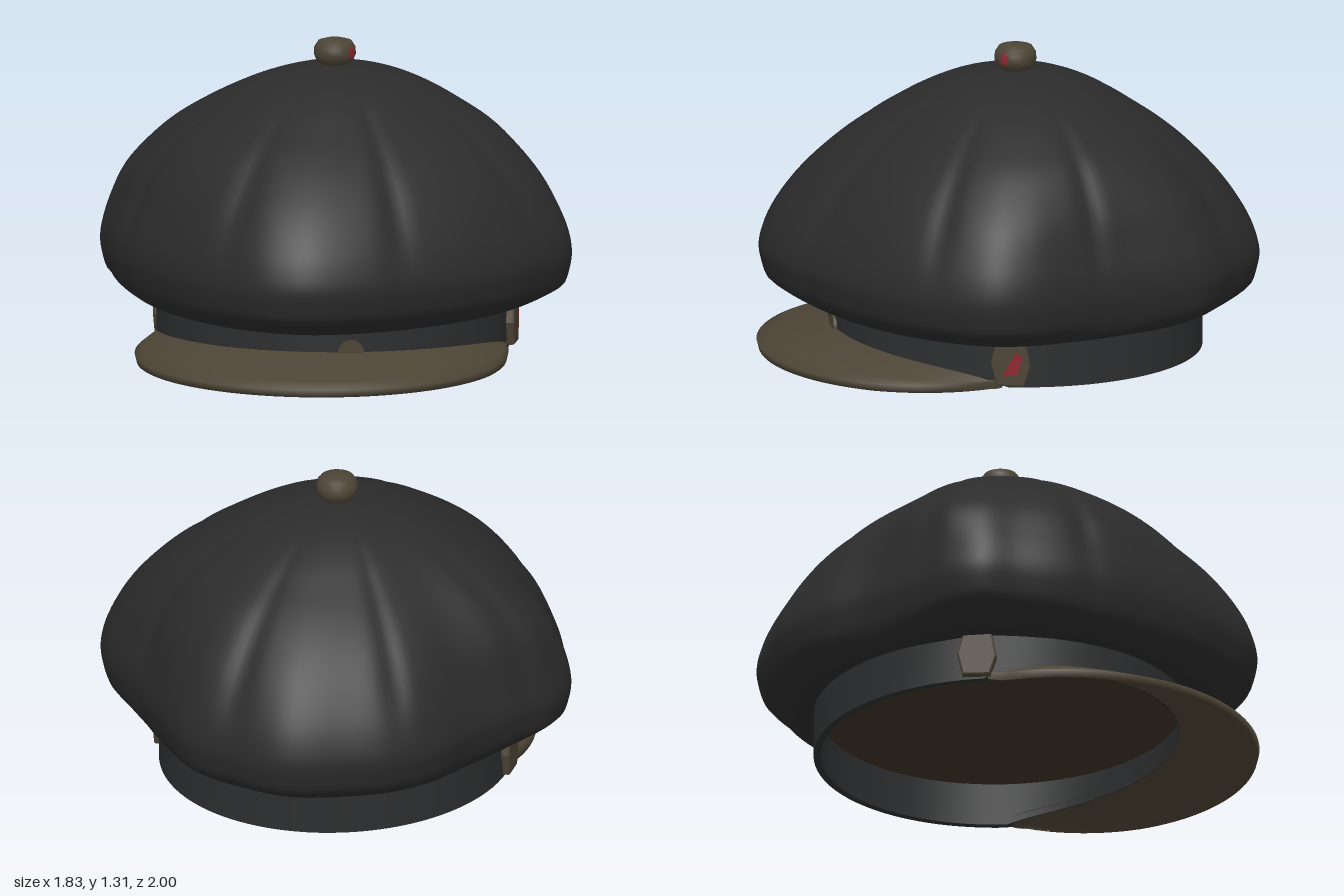
import * as THREE from 'three';

const CX = 0.02, CZ = -0.035;          // axis of crown and band
const AXIS = -0.56;                    // heading of the brim, measured from +z towards +x
const { lerp, smoothstep } = THREE.MathUtils;

const paint = (name, color, side = THREE.FrontSide) => {
  const m = new THREE.MeshStandardMaterial({ color, side });
  m.name = name;
  return m;
};

// Surface from rows of points; u runs around, j counts the rows
function loft(segs, rows, closed, point) {
  const cols = closed ? segs : segs + 1, pos = [], idx = [];
  for (let j = 0; j < rows; j++)
    for (let i = 0; i < cols; i++) pos.push(...point(i / segs, j));
  for (let j = 0; j < rows - 1; j++)
    for (let i = 0; i < segs; i++) {
      const k = (i + 1) % cols, a = j * cols + i, b = j * cols + k, c = b + cols, d = a + cols;
      idx.push(a, b, c, a, c, d);
    }
  const g = new THREE.BufferGeometry();
  g.setAttribute('position', new THREE.Float32BufferAttribute(pos, 3));
  g.setIndex(idx);
  g.computeVertexNormals();
  return g;
}

// Radius of the slightly oval head band
function bandRadius(t) {
  const s = t + Math.PI / 4;
  return 1 / Math.hypot(Math.cos(s) / 0.785, Math.sin(s) / 0.735);
}
const polar = (t, r, y) => [CX + Math.sin(t) * r, y, CZ + Math.cos(t) * r];

// 1 at the middle of the brim, 0 at its ends
const brimFade = t => Math.sqrt(Math.max(0, Math.cos(t - AXIS)));

// Puffy crown: irregular plan outline, scaled up a domed profile, with panel seams
function crownGeometry() {
  const plan = [[0.1, -1], [0.32, -0.97], [0.58, -0.89], [0.75, -0.7], [0.87, -0.5], [0.89, -0.35],
    [0.89, -0.12], [0.9, 0.1], [0.91, 0.35], [0.86, 0.52], [0.7, 0.67], [0.5, 0.78], [0.28, 0.86],
    [0, 0.92], [-0.22, 0.945], [-0.45, 0.92], [-0.57, 0.86], [-0.67, 0.76], [-0.8, 0.5], [-0.88, 0.2],
    [-0.91, -0.05], [-0.9, -0.25], [-0.86, -0.42], [-0.82, -0.57], [-0.7, -0.68], [-0.5, -0.76],
    [-0.3, -0.84], [-0.1, -0.95]].map(([x, z]) => new THREE.Vector3(x - CX, 0, z - CZ));
  const outline = new THREE.CatmullRomCurve3(plan.reverse(), true);
  // height, radius, how much wider across x than z
  const profile = [[0.235, 0.76, 0], [0.22, 0.82, 0], [0.24, 0.9, 0], [0.3, 0.965, 0], [0.37, 0.99, 0],
    [0.44, 1, 0], [0.52, 0.985, 0.005], [0.62, 0.945, 0.01], [0.75, 0.873, 0.022], [0.86, 0.783, 0.028],
    [0.95, 0.685, 0.035], [1.03, 0.565, 0.03], [1.1, 0.445, 0.02], [1.16, 0.31, 0.01],
    [1.195, 0.18, 0], [1.21, 0.08, 0], [1.215, 0, 0]].map(p => new THREE.Vector3(...p));
  const curve = new THREE.CatmullRomCurve3(profile);
  const rows = 61;
  return loft(192, rows, true, (u, j) => {
    const p = outline.getPoint(u), q = curve.getPoint(j / (rows - 1));
    const t = Math.atan2(p.x, p.z);
    const round = smoothstep(q.x, 0.55, 1.2);
    const edge = 1 - smoothstep(q.x, 0.22, 0.32);
    let r = lerp(p.length(), 0.94, round * 0.8);
    r = lerp(r, bandRadius(t) * 1.2, edge * 0.5);
    const seam = Math.exp(-((Math.sin(4 * (t - 0.72)) / 0.25) ** 2));
    const puff = smoothstep(q.x, 0.5, 0.8) * (1 - smoothstep(q.x, 1, 1.2));
    const back = 0.07 * puff * Math.exp(-(((t + 2.42) / 0.28) ** 2));
    const lobe = 1 - (0.007 + 0.016 * puff) * seam * (1 - edge) + back;
    return polar(t, Math.max(0, r * lobe * (q.y - q.z * Math.cos(2 * t))), q.x);
  });
}

// Brim: crescent between the band and a shifted circle, tapering out at the buckles
function brimGeometry() {
  const span = 1.57;
  return loft(80, 13, false, (u, j) => {
    const t = AXIS + (2 * u - 1) * span, fade = brimFade(t);
    const along = -0.16 * Math.sin(t) + 0.255 * Math.cos(t);
    const inner = bandRadius(t) - 0.032;
    const outer = Math.max(inner + 0.04, along + Math.sqrt(0.78 ** 2 - 0.0906 + along ** 2));
    // underside outwards, then over the rounded lip and back along the top
    const top = j > 6, k = top ? (12 - j) / 5 : j / 6;
    const drop = lerp(0.06 + 0.085 * fade, 0.06 - 0.025 * Math.min(1, fade * 1.3), k ** 1.15);
    const y = top ? drop : drop - 0.032;
    return polar(t, lerp(inner, outer, k) - (j === 6 ? 0.008 : 0), y);
  });
}

export function createModel() {
  const cap = new THREE.Group();
  cap.name = 'cap';
  const cloth = paint('charcoal cloth', 0x2b2b2b);
  const trim = paint('band grey', 0x2d2e2f);
  const olive = paint('olive brown', 0x4c4435, THREE.DoubleSide);
  const inside = paint('dark lining', 0x3c3526);
  const red = paint('dark red', 0x8f2630, THREE.DoubleSide);
  const add = (name, geo, mat, parent = cap) => {
    const m = new THREE.Mesh(geo, mat);
    m.name = name;
    parent.add(m);
    return m;
  };

  add('crown', crownGeometry(), cloth);

  // Band: inner wall, lower rim and outer wall (rows doubled at the sharp edges)
  const wall = [[-0.03, 0.23], [-0.03, 0.03], [-0.03, 0.03], [0, 0.03], [0, 0.03], [0, 0.25]];
  add('band', loft(96, wall.length, true, (u, j) => {
    const t = u * Math.PI * 2, [inset, y] = wall[j];
    return polar(t, bandRadius(t) + inset, y < 0.1 ? y + 0.088 * brimFade(t) : y);
  }), trim);

  // Lining closing the inside of the cap
  add('lining', loft(96, 2, true, (u, j) => {
    const t = u * Math.PI * 2;
    return polar(t, j * (bandRadius(t) - 0.02), 0.215);
  }), inside);

  add('brim', brimGeometry(), olive);

  // Small half-round tab above the brim
  const tabAngle = -0.29;
  const half = new THREE.Shape().absarc(0, 0, 0.055, 0, Math.PI, false);
  const tab = add('brimTab', new THREE.ExtrudeGeometry(half, { depth: 0.014, bevelEnabled: false }), olive);
  tab.position.set(...polar(tabAngle, bandRadius(tabAngle) - 0.004, 0.132));
  tab.rotation.y = tabAngle;

  // Strap buckles where the brim ends
  const shape = new THREE.Shape();
  shape.moveTo(-0.055, -0.09).lineTo(0.05, -0.095).lineTo(0.075, -0.02);
  shape.lineTo(0.055, 0.095).lineTo(-0.05, 0.095).lineTo(-0.075, 0);
  const plate = new THREE.ExtrudeGeometry(shape, {
    depth: 0.025, bevelEnabled: true, bevelSize: 0.008, bevelThickness: 0.01, bevelSegments: 2,
  });
  const mark = new THREE.Shape();
  mark.moveTo(-0.035, -0.055).lineTo(0.03, -0.05).lineTo(0.05, 0.03).lineTo(0.02, 0.045);
  for (const [name, t] of [['leftBuckle', 1.06], ['rightBuckle', -2.19]]) {
    const buckle = new THREE.Group();
    buckle.name = name;
    buckle.position.set(...polar(t, bandRadius(t) - 0.008, 0.14));
    buckle.rotation.y = t;
    add(name + 'Plate', plate, olive, buckle);
    if (name === 'leftBuckle')
      add('buckleMark', new THREE.ShapeGeometry(mark), red, buckle).position.z = 0.038;
    cap.add(buckle);
  }

  // Button on top with a small red patch
  const button = new THREE.Group();
  button.name = 'topButton';
  button.position.set(CX, 1.2, CZ);
  const side = [[0, 0], [0.05, 0], [0.075, 0.02], [0.088, 0.05], [0.086, 0.08], [0.07, 0.105],
    [0.04, 0.114], [0, 0.116]].map(p => new THREE.Vector2(...p));
  add('buttonBody', new THREE.LatheGeometry(side, 32), olive, button);
  const patch = [[0.085, 0.038], [0.091, 0.05], [0.089, 0.08], [0.085, 0.087]].map(p => new THREE.Vector2(...p));
  add('buttonPatch', new THREE.LatheGeometry(patch, 6, 0.34, 0.4), red, button);
  cap.add(button);

  return cap;
}
